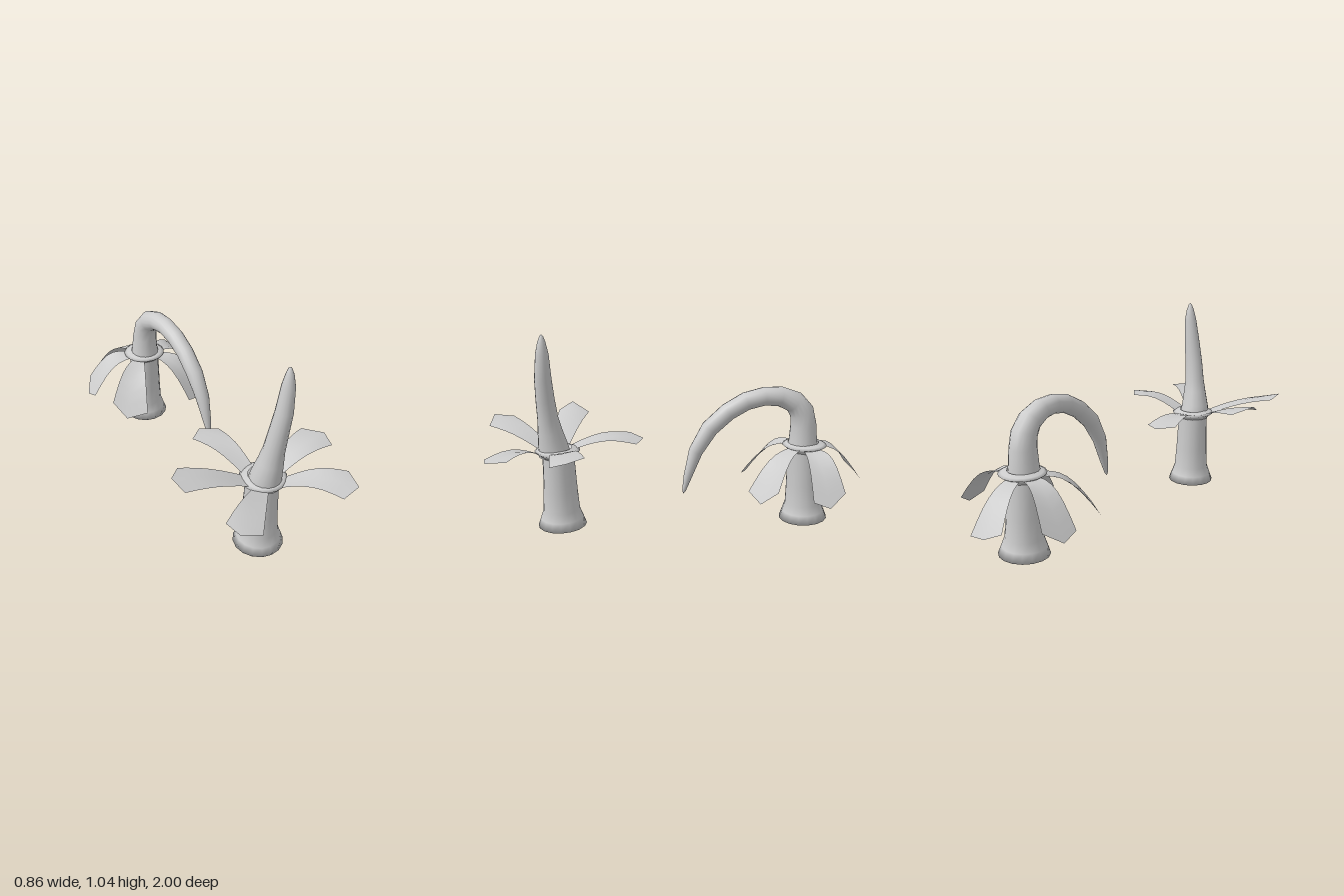
import * as THREE from 'three';

const grey = new THREE.MeshStandardMaterial({ color: 0xcccccc });
const thin = new THREE.MeshStandardMaterial({ color: 0xcccccc, side: THREE.DoubleSide });

function build(name, pos, idx, material) {
  const g = new THREE.BufferGeometry();
  g.setAttribute('position', new THREE.Float32BufferAttribute(pos, 3));
  g.setIndex(idx);
  g.computeVertexNormals();
  const mesh = new THREE.Mesh(g, material);
  mesh.name = name;
  return mesh;
}

// Round body through rings of [x, y, z, radius]
function loft(name, rings, sides = 16) {
  const pos = [], idx = [];
  const p = rings.map(r => new THREE.Vector3(r[0], r[1], r[2]));
  rings.forEach((r, i) => {
    const t = p[Math.min(i + 1, p.length - 1)].clone().sub(p[Math.max(i - 1, 0)]).normalize();
    const u = new THREE.Vector3(1, 0, 0).addScaledVector(t, -t.x).normalize();
    const v = t.clone().cross(u);
    for (let j = 0; j < sides; j++) {
      const a = (j / sides) * Math.PI * 2;
      const q = p[i].clone().addScaledVector(u, r[3] * Math.cos(a)).addScaledVector(v, r[3] * Math.sin(a));
      pos.push(q.x, q.y, q.z);
      if (i) {
        const k = (j + 1) % sides, lo = (i - 1) * sides, hi = i * sides;
        idx.push(lo + j, lo + k, hi + k, lo + j, hi + k, hi + j);
      }
    }
  });
  return build(name, pos, idx, grey);
}

// Thin petal: two root corners [x, z], three tip corners [x, y, z], arch height
function petal(name, rootY, rootA, rootB, tipA, tipM, tipB, arch) {
  const rows = 7, pos = [], idx = [];
  const a0 = new THREE.Vector3(rootA[0], rootY, rootA[1]);
  const b0 = new THREE.Vector3(rootB[0], rootY, rootB[1]);
  const m0 = a0.clone().lerp(b0, 0.5);
  const cols = [[a0, tipA], [m0, tipM], [b0, tipB]];
  for (let i = 0; i < rows; i++) {
    const t = i / (rows - 1);
    for (const [from, tip] of cols) {
      const q = from.clone().lerp(new THREE.Vector3(...tip), t);
      pos.push(q.x, q.y + arch * Math.sin(Math.PI * t), q.z);
    }
    if (i) for (let c = 0; c < 2; c++) {
      const l = (i - 1) * 3 + c, h = i * 3 + c;
      idx.push(l, l + 1, h + 1, l, h + 1, h);
    }
  }
  return build(name, pos, idx, thin);
}

// Flared stem with closed foot
function stem(baseZ, topZ) {
  const rows = [[0, 0], [0.001, 0.128], [0.045, 0.112], [0.09, 0.096], [0.2, 0.089], [0.33, 0.084], [0.4, 0.084]];
  return loft('stem', rows.map(([y, r]) => [0.025, y, THREE.MathUtils.lerp(baseZ, topZ, y / 0.4), r]));
}

// Thin flared rim where the petals join
function collar(z) {
  const prof = [[0.083, 0.385], [0.1, 0.405], [0.117, 0.416], [0.1, 0.424], [0.074, 0.432]];
  const mesh = new THREE.Mesh(new THREE.LatheGeometry(prof.map(q => new THREE.Vector2(...q)), 20), thin);
  mesh.position.set(0.027, 0, z);
  mesh.name = 'collar';
  return mesh;
}

// Front plant with an upright spike and spread petals
function uprightPlant() {
  const g = new THREE.Group();
  g.name = 'uprightPlant';
  g.add(stem(0.61, 0.617), collar(0.62));
  g.add(loft('spike', [
    [0.028, 0.4, 0.635, 0.083], [0.03, 0.45, 0.642, 0.076], [0.042, 0.53, 0.652, 0.063],
    [0.051, 0.6, 0.659, 0.053], [0.065, 0.7, 0.666, 0.048], [0.084, 0.81, 0.67, 0.043],
    [0.098, 0.94, 0.667, 0.033], [0.101, 1.0, 0.666, 0.02], [0.101, 1.03, 0.665, 0.009], [0.101, 1.038, 0.665, 0],
  ]));
  g.add(
    petal('backPetal', 0.42, [0.025, 0.53], [-0.05, 0.55], [0.02, 0.435, 0.21], [-0.07, 0.44, 0.17], [-0.148, 0.45, 0.24], 0.03),
    petal('leftPetal', 0.415, [0.11, 0.65], [0.1, 0.56], [0.42, 0.465, 0.63], [0.43, 0.485, 0.55], [0.35, 0.485, 0.465], 0.03),
    petal('rightPetal', 0.42, [-0.06, 0.56], [-0.07, 0.65], [-0.35, 0.51, 0.465], [-0.43, 0.55, 0.56], [-0.4, 0.51, 0.635], 0.015),
    petal('frontLeftPetal', 0.415, [0.06, 0.725], [0.12, 0.67], [0.24, 0.45, 0.96], [0.34, 0.465, 0.94], [0.36, 0.475, 0.835], 0.035),
    petal('frontRightPetal', 0.415, [-0.07, 0.67], [-0.01, 0.725], [-0.335, 0.5, 0.88], [-0.325, 0.515, 0.985], [-0.22, 0.48, 1.0], 0.015),
  );
  return g;
}

// Rear plant with an arched spike and hanging petals
function archedPlant() {
  const g = new THREE.Group();
  g.name = 'archedPlant';
  g.add(stem(-0.69, -0.672), collar(-0.68));
  g.add(loft('archedSpike', [
    [0.028, 0.4, -0.67, 0.082], [0.028, 0.45, -0.67, 0.074], [0.03, 0.53, -0.668, 0.068],
    [0.034, 0.6, -0.655, 0.064], [0.04, 0.655, -0.612, 0.058], [0.05, 0.688, -0.535, 0.052],
    [0.06, 0.693, -0.45, 0.048], [0.07, 0.672, -0.355, 0.047], [0.08, 0.62, -0.26, 0.046],
    [0.088, 0.535, -0.165, 0.045], [0.097, 0.415, -0.093, 0.037], [0.104, 0.28, -0.052, 0.022],
    [0.106, 0.205, -0.033, 0.01], [0.106, 0.185, -0.028, 0],
  ]));
  g.add(petal('backPetal', 0.41, [0.03, -0.77], [-0.045, -0.76],
    [0.02, 0.205, -1.0], [-0.07, 0.215, -0.995], [-0.148, 0.25, -0.955], 0.045));
  // Side and front petals, mirrored about the stem axis
  for (const s of [1, -1]) {
    const X = d => 0.025 + s * d, side = s > 0 ? 'Left' : 'Right';
    g.add(
      petal('side' + side + 'Petal', 0.41, [X(0.09), -0.655], [X(0.085), -0.745],
        [X(0.335), 0.22, -0.66], [X(0.345), 0.19, -0.745], [X(0.295), 0.25, -0.83], 0.06),
      petal('front' + side + 'Petal', 0.41, [X(0.04), -0.59], [X(0.095), -0.635],
        [X(0.135), 0.21, -0.365], [X(0.245), 0.182, -0.41], [X(0.293), 0.26, -0.49], 0.05),
    );
  }
  return g;
}

export function createModel() {
  const model = new THREE.Group();
  model.name = 'plants';
  model.add(uprightPlant(), archedPlant());
  return model;
}
